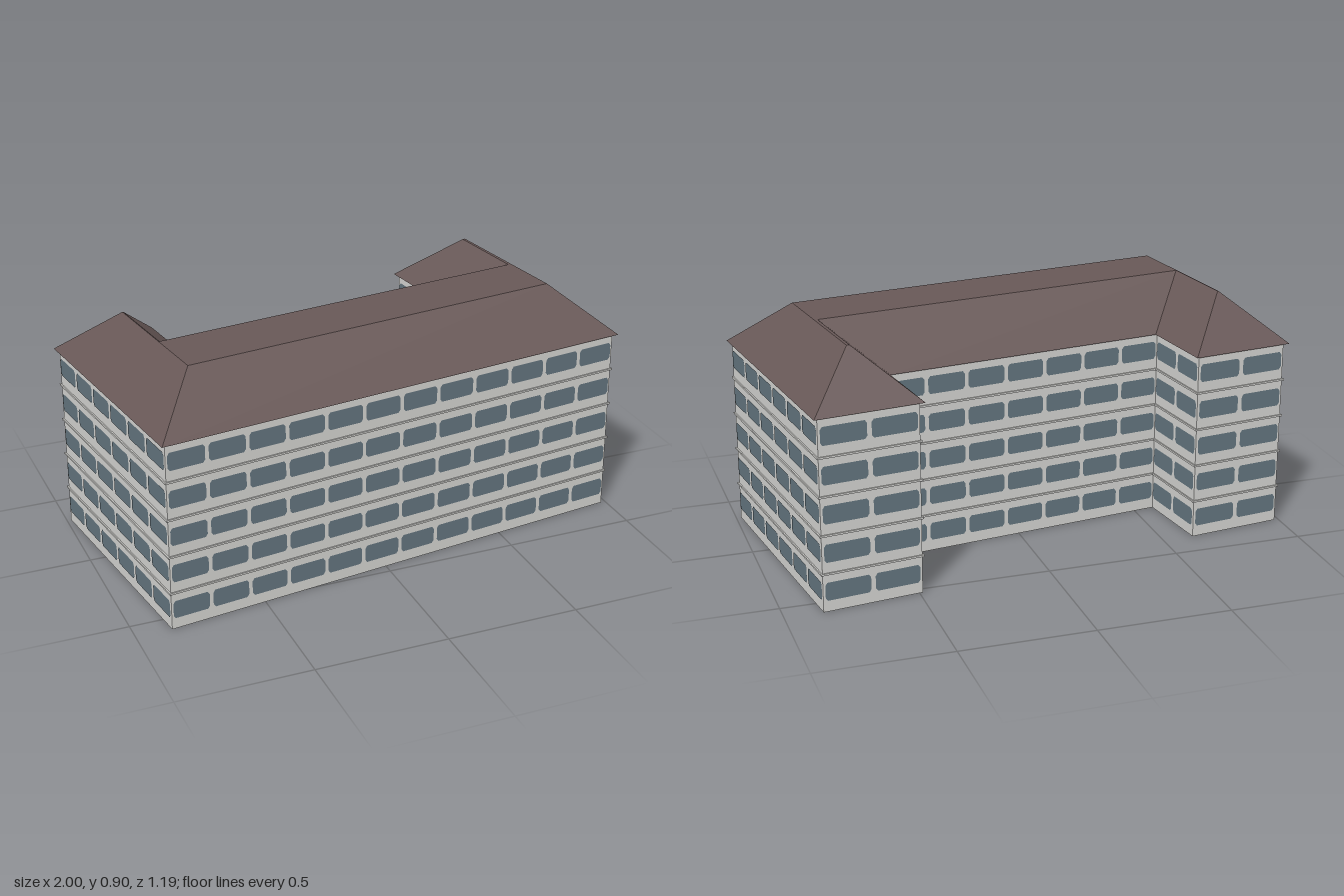
import * as THREE from 'three';

const WALL_TOP = 0.722, ROOF_TOP = 0.9, STOREY = 0.1445, STOREYS = 5;
const EAVE = 0.016, ROOF_RUN = 0.198;

// U-shaped eave outline: x, z, and the inward direction at each corner
const OUTLINE = [
  [0, 0, 1, -1], [1.895, 0, -1, -1], [1.892, -0.951, -1, 1], [1.485, -0.951, 1, 1],
  [1.485, -0.631, 1, 1], [0.399, -0.631, -1, 1], [0.399, -0.941, -1, 1], [0, -0.941, 1, 1],
];
const inset = (d) => OUTLINE.map(([x, z, sx, sz]) => new THREE.Vector2(x + sx * d, z + sz * d));
const planShape = (pts) => new THREE.Shape(pts.map((p) => new THREE.Vector2(p.x, -p.y)));

function mesh(name, geometry, material) {
  const m = new THREE.Mesh(geometry, material);
  m.name = name;
  return m;
}

function material(name, color) {
  const m = new THREE.MeshStandardMaterial({ color, side: THREE.DoubleSide });
  m.name = name;
  return m;
}

// Window pane with clipped corners
function windowShape(cx, cy, w, h) {
  const a = w / 2, b = h / 2, c = 0.008, e = 0.011;
  return new THREE.Shape([
    [-a + c, -b], [a - c, -b], [a, -b + e], [a, b - e],
    [a - c, b], [-a + c, b], [-a, b - e], [-a, -b + e],
  ].map(([x, y]) => new THREE.Vector2(cx + x, cy + y)));
}

// One facade with its window rows, seen from outside and inside
function facade(p, q, wallMat, glassMat) {
  const g = new THREE.Group();
  g.name = 'facade';
  const length = p.distanceTo(q);
  g.position.set(p.x, 0, p.y);
  g.rotation.y = Math.atan2(-(q.y - p.y), q.x - p.x);

  const wall = new THREE.PlaneGeometry(length, WALL_TOP);
  wall.translate(length / 2, WALL_TOP / 2, 0);
  g.add(mesh('wall', wall, wallMat));

  const count = Math.round(length / 0.155), pitch = length / count;
  const panes = [];
  for (let row = 0; row < STOREYS; row++)
    for (let i = 0; i < count; i++)
      panes.push(windowShape((i + 0.5) * pitch, 0.077 + row * STOREY, pitch * 0.91, 0.069));
  for (const z of [0.002, -0.002]) {
    const windows = mesh(z > 0 ? 'windows' : 'windowsInside', new THREE.ShapeGeometry(panes), glassMat);
    windows.position.z = z;
    g.add(windows);
  }
  return g;
}

// Hipped slopes rising from the eaves to the inset edge
function roofSlopes() {
  const low = inset(0), high = inset(ROOF_RUN), pos = [];
  low.forEach((a, i) => {
    const j = (i + 1) % low.length;
    const A = [a.x, WALL_TOP, a.y], B = [low[j].x, WALL_TOP, low[j].y];
    const C = [high[j].x, ROOF_TOP, high[j].y], D = [high[i].x, ROOF_TOP, high[i].y];
    pos.push(...A, ...B, ...C, ...A, ...C, ...D);
  });
  const geo = new THREE.BufferGeometry();
  geo.setAttribute('position', new THREE.Float32BufferAttribute(pos, 3));
  geo.computeVertexNormals();
  return geo;
}

export function createModel() {
  const wallMat = material('pale plaster', 0xd3d3d0);
  const glassMat = material('blue grey glass', 0x63747e);
  const roofMat = material('brown roofing', 0x685857);

  const model = new THREE.Group();
  model.name = 'building';
  const body = new THREE.Group();
  body.name = 'turnedBody';
  body.position.set(-0.88, 0, 0.592);
  body.rotation.y = 0.1296;
  model.add(body);

  // Walls and windows
  const walls = inset(EAVE);
  walls.forEach((p, i) => body.add(facade(p, walls[(i + 1) % walls.length], wallMat, glassMat)));

  // Thin ledges between storeys
  const ring = planShape(inset(EAVE - 0.006));
  ring.holes.push(new THREE.Path(planShape(inset(EAVE - 0.001)).getPoints()));
  const ledge = new THREE.ExtrudeGeometry(ring, { depth: 0.007, bevelEnabled: false });
  ledge.rotateX(-Math.PI / 2);
  for (let i = 1; i < STOREYS; i++) {
    const m = mesh('storeyLedge', ledge, wallMat);
    m.position.y = i * STOREY - 0.0035;
    body.add(m);
  }

  // Roof slopes and flat crown
  body.add(mesh('roofSlopes', roofSlopes(), roofMat));
  const crown = new THREE.ShapeGeometry(planShape(inset(ROOF_RUN)));
  crown.rotateX(-Math.PI / 2);
  crown.translate(0, ROOF_TOP, 0);
  body.add(mesh('roofCrown', crown, roofMat));

  return model;
}
